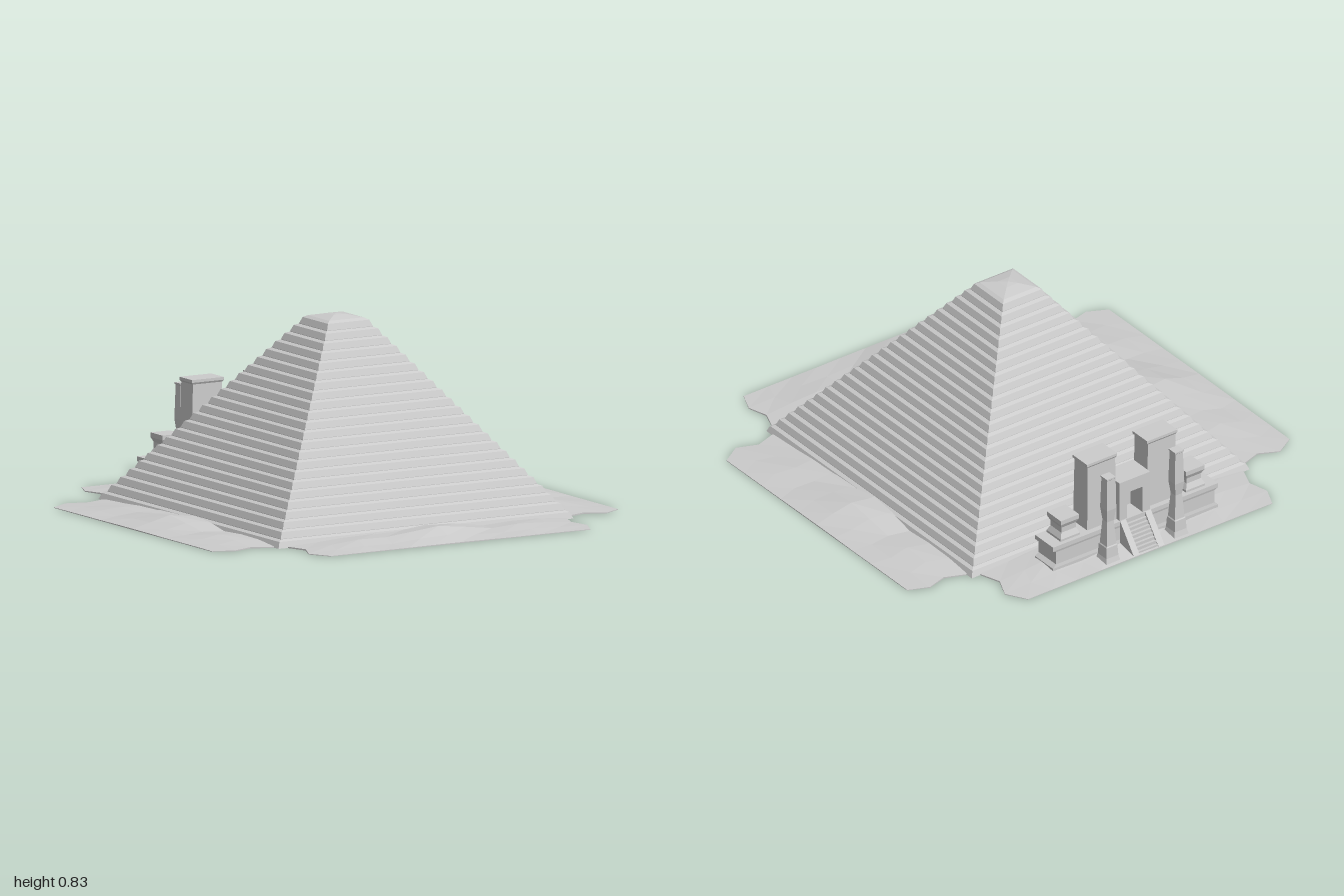
import * as THREE from 'three';

const stone = new THREE.MeshStandardMaterial({ color: 0xcccccc, flatShading: true });
const sandMat = new THREE.MeshStandardMaterial({ color: 0xcccccc, flatShading: true, side: THREE.DoubleSide });

function add(parent, name, geometry, x = 0, y = 0, z = 0, material = stone) {
  const mesh = new THREE.Mesh(geometry, material);
  mesh.name = name;
  mesh.position.set(x, y, z);
  parent.add(mesh);
  return mesh;
}

// Square-plan solid from a profile of [half width, height], closed at both ends
function squareLathe(profile, sx = 1, sz = 1) {
  const points = profile.map(([r, y]) => new THREE.Vector2(r * Math.SQRT2, y));
  points.unshift(new THREE.Vector2(0, profile[0][1]));
  points.push(new THREE.Vector2(0, profile[profile.length - 1][1]));
  return new THREE.LatheGeometry(points, 4, Math.PI / 4).scale(sx, 1, sz);
}

function box(parent, name, x0, x1, y0, y1, z0, z1) {
  return add(parent, name, new THREE.BoxGeometry(x1 - x0, y1 - y0, z1 - z0),
    (x0 + x1) / 2, (y0 + y1) / 2, (z0 + z1) / 2);
}

// Stepped pyramid with a shallow capstone
function pyramid() {
  const tiers = 23, base = 0.725, top = 0.085, height = 0.82;
  const h = height / tiers, run = (base - top) / tiers, profile = [];
  for (let i = 0; i < tiers; i++) {
    const r = base - i * run, y = i * h;
    profile.push([r, y], [r - run * 0.4, y + h * 0.75]);
    if (i < tiers - 1) profile.push([r - run, y + h * 0.95]);
  }
  profile.push([top, height], [0.03, 0.832], [0.001, 0.835]);
  return squareLathe(profile);
}

// Sand drift on one side: low dunes, ragged ends, flat underside
function sandDrift() {
  const crest = [0.004, 0.012, 0.022, 0.02, 0.032, 0.045, 0.03, 0.012, 0.02, 0.014, 0.004];
  const rows = [ // [distance out, left end, right end, height factor]
    [0.66, 0.66, 0.66, 0.75], [0.73, 0.68, 0.69, 0.8], [0.82, 0.65, 0.655, 1],
    [0.91, 0.69, 0.68, 0.45], [1, 0.635, 0.64, 0.06],
  ];
  const n = crest.length, pos = [], idx = [];
  for (const lower of [false, true]) {
    rows.forEach(([z, l, r, f], j) => crest.forEach((c, i) => {
      const t = i / (n - 1);
      const wave = 1 + 0.2 * Math.sin(i * 2.1 + j * 1.7) * (j === 2 ? 0 : 1);
      pos.push(-l + (l + r) * t, lower ? 0 : c * f * wave + 0.002, z);
    }));
  }
  const half = n * rows.length;
  for (let j = 0; j < rows.length - 1; j++) {
    for (let i = 0; i < n - 1; i++) {
      const a = j * n + i, b = a + 1, c = a + n, d = c + 1;
      idx.push(a, c, b, b, c, d);
      idx.push(a + half, b + half, c + half, b + half, d + half, c + half);
    }
    // ragged side walls
    for (const i of [0, n - 1]) {
      const a = j * n + i, c = a + n;
      idx.push(a, a + half, c, c, a + half, c + half);
    }
  }
  for (let i = 0; i < n - 1; i++) {
    const a = (rows.length - 1) * n + i;
    idx.push(a, a + half, a + 1, a + 1, a + half, a + 1 + half);
  }
  const g = new THREE.BufferGeometry();
  g.setAttribute('position', new THREE.Float32BufferAttribute(pos, 3));
  g.setIndex(idx);
  g.computeVertexNormals();
  return g;
}

// Triangular wedge running down towards -z, extruded across x
function wedge(x0, x1, top) {
  const s = new THREE.Shape();
  s.moveTo(0.88, 0);
  s.lineTo(1, 0);
  s.lineTo(0.99, 0.012);
  s.lineTo(0.9, top);
  s.lineTo(0.88, top);
  s.closePath();
  return new THREE.ExtrudeGeometry(s, { depth: x1 - x0, bevelEnabled: false })
    .rotateY(Math.PI / 2).translate(x0, 0, 0);
}

function temple() {
  const g = new THREE.Group();
  g.name = 'temple';

  // Platform with a projecting ledge
  add(g, 'platform', squareLathe([
    [1, 0], [1, 0.025], [0.96, 0.04], [0.96, 0.1], [1, 0.11], [1, 0.13],
  ], 0.43, 0.064), 0, 0, -0.836);

  // Portal with a recessed doorway
  const door = new THREE.Shape();
  [[-0.08, 0.1], [-0.04, 0.1], [-0.04, 0.255], [0.04, 0.255], [0.04, 0.1],
    [0.08, 0.1], [0.08, 0.315], [-0.08, 0.315]].forEach(([x, y], i) => (i ? door.lineTo(x, y) : door.moveTo(x, y)));
  add(g, 'portal', new THREE.ExtrudeGeometry(door, { depth: 0.12, bevelEnabled: false }), 0, 0, -0.895);
  box(g, 'doorBack', -0.05, 0.05, 0.1, 0.27, -0.81, -0.78);

  // Stairway between sloped side walls
  const stairs = new THREE.Group();
  stairs.name = 'stairway';
  g.add(stairs);
  const steps = 8;
  for (let i = 0; i < steps; i++) {
    box(stairs, 'step', -0.05, 0.05, 0, 0.11 * (1 - i / steps), -0.9 - 0.09 * (i + 1) / steps, -0.88);
  }

  for (const side of [-1, 1]) {
    const mid = side * 0.065;
    add(stairs, 'stairWall', wedge(mid - 0.015, mid + 0.015, 0.13));

    // Tower with a thin cornice
    add(g, 'tower', squareLathe([
      [1, 0.12], [0.93, 0.435], [1.02, 0.443], [1.02, 0.455],
    ], 0.077, 0.05), side * 0.157, 0, -0.825);

    // Small pavilion with waisted walls
    add(g, 'pavilion', squareLathe([
      [0.05, 0.13], [0.05, 0.14], [0.038, 0.165], [0.038, 0.19], [0.048, 0.21], [0.048, 0.23],
    ]), side * 0.327, 0, -0.832);

    // Obelisk with a waisted shaft
    add(g, 'obelisk', squareLathe([
      [0.038, 0], [0.031, 0.03], [0.028, 0.08], [0.025, 0.085], [0.017, 0.2],
      [0.024, 0.26], [0.02, 0.405], [0.023, 0.408], [0.023, 0.415],
    ]), side * 0.178, 0, -0.947);
  }
  return g;
}

export function createModel() {
  const model = new THREE.Group();
  model.name = 'steppedPyramid';
  add(model, 'pyramid', pyramid());
  const drift = sandDrift();
  for (let i = 0; i < 4; i++) {
    add(model, 'sandDrift', drift, 0, 0, 0, sandMat).rotation.y = i * Math.PI / 2;
  }
  model.add(temple());
  return model;
}
